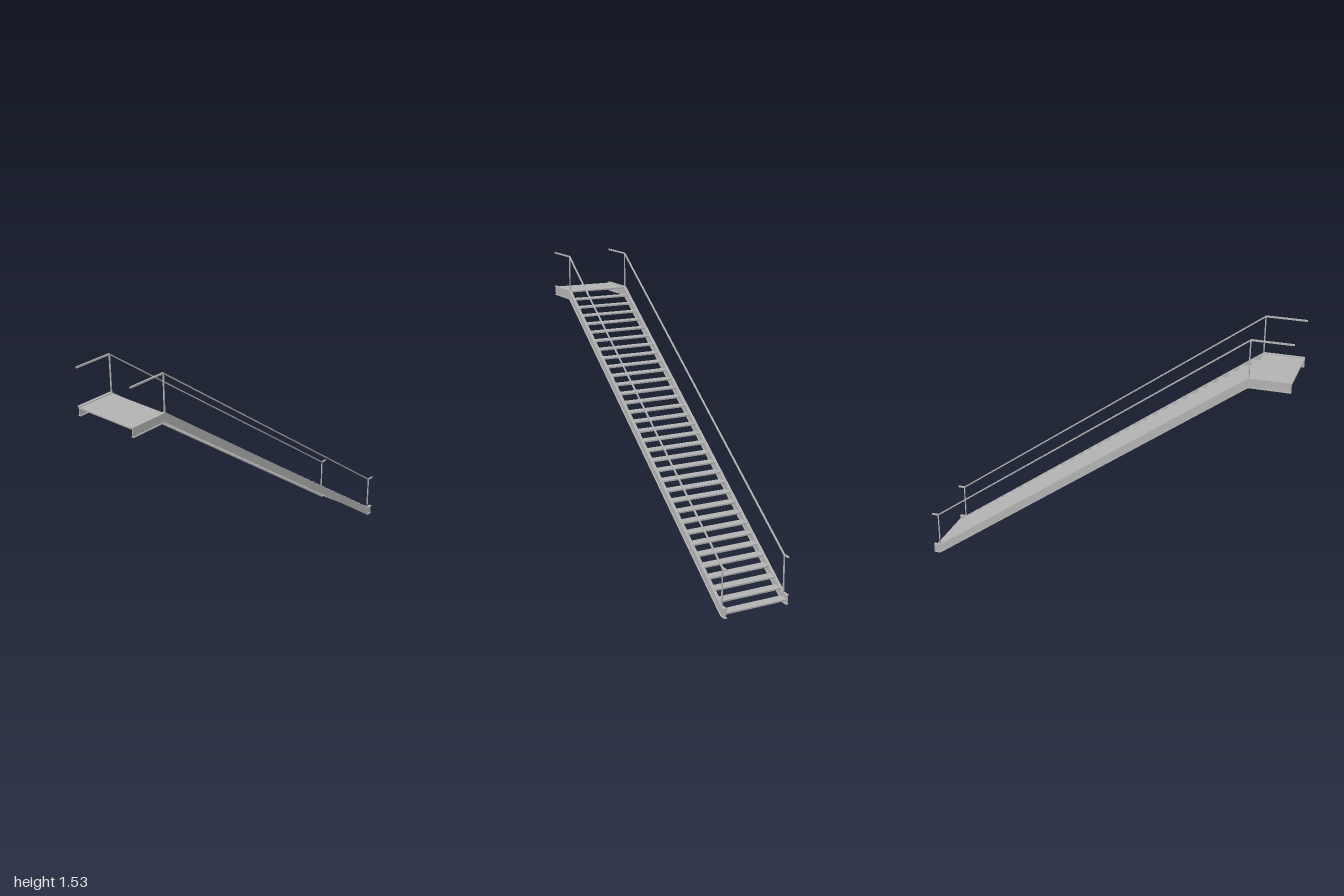
import * as THREE from 'three';

const steel = new THREE.MeshStandardMaterial({ color: 0xb2b2b2 });
steel.name = 'grey steel';

// Top line of the stringers: landing, flight, foot
const LINE = [[-1, 1.335], [-0.788, 1.335], [0.962, 0.052], [1, 0.052]];
const DEPTH = 0.052, SIDE = 0.176, RAIL_RISE = 0.196;

// Band that follows the stair line between two vertical offsets
function band(name, low, high, width, z) {
  const pts = [
    ...LINE.map(([x, y]) => new THREE.Vector2(x, y + high)),
    ...[...LINE].reverse().map(([x, y]) => new THREE.Vector2(x, y + low)),
  ];
  const geo = new THREE.ExtrudeGeometry(new THREE.Shape(pts), { depth: width, bevelEnabled: false });
  geo.translate(0, 0, z - width / 2);
  const mesh = new THREE.Mesh(geo, steel);
  mesh.name = name;
  return mesh;
}

function box(name, w, h, d, x, y, z) {
  const mesh = new THREE.Mesh(new THREE.BoxGeometry(w, h, d), steel);
  mesh.position.set(x, y, z);
  mesh.name = name;
  return mesh;
}

export function createModel() {
  const model = new THREE.Group();
  model.name = 'staircase';

  for (const s of [1, -1]) {
    const z = s * SIDE;

    // Flanged stringer beam
    const stringer = new THREE.Group();
    stringer.name = s > 0 ? 'frontStringer' : 'backStringer';
    stringer.add(
      band('topFlange', -0.004, 0, 0.016, z),
      band('web', -DEPTH + 0.004, -0.004, 0.004, z),
      band('bottomFlange', -DEPTH, -DEPTH + 0.004, 0.016, z),
    );
    model.add(stringer);

    // Handrail with a post at each bend
    const railing = new THREE.Group();
    railing.name = s > 0 ? 'frontRailing' : 'backRailing';
    railing.add(band('handrail', RAIL_RISE - 0.004, RAIL_RISE + 0.004, 0.008, z));
    for (const [x, y] of [LINE[1], LINE[2]]) {
      railing.add(box('post', 0.006, RAIL_RISE, 0.006, x, y + RAIL_RISE / 2, z));
    }
    model.add(railing);
  }

  // Landing plate
  const span = 2 * SIDE - 0.004, thick = 0.008;
  model.add(box('landing', 0.21, thick, span, -0.895, 1.326, 0));

  // Open treads
  const count = 33, going = 1.784 / count, rise = 1.3 / count;
  const treads = new THREE.Group();
  treads.name = 'treads';
  for (let i = 0; i < count; i++) {
    treads.add(box('tread', going, thick, span, -0.784 + (i + 0.5) * going, 1.326 - (i + 1) * rise, 0));
  }
  model.add(treads);

  return model;
}
